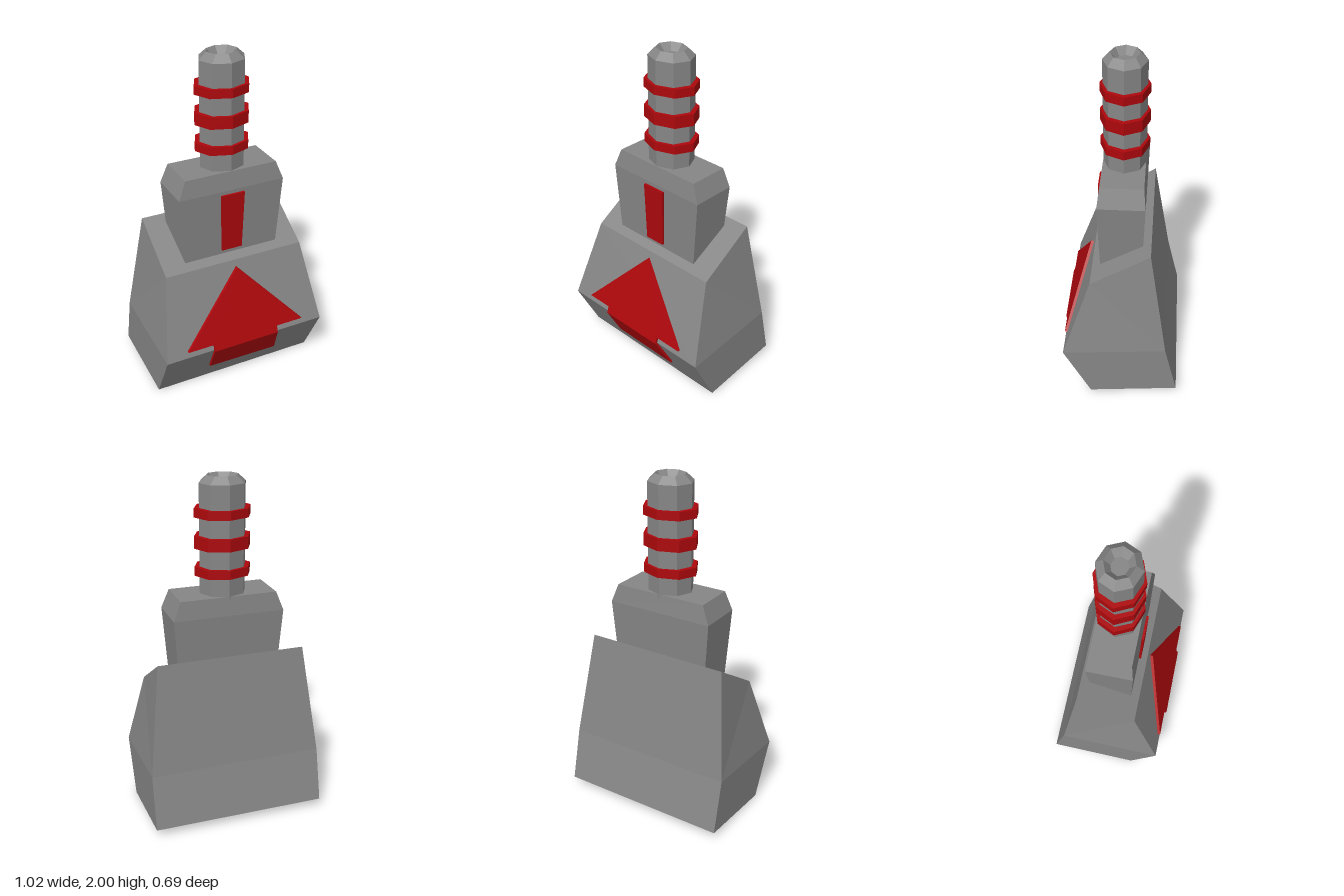
import * as THREE from 'three';

const grey = new THREE.MeshStandardMaterial({ color: 0x868686, flatShading: true });
const red = new THREE.MeshStandardMaterial({ color: 0xad080c, flatShading: true });

// Closed solid through rings of points, counter-clockwise seen from the last ring
function loft(rings) {
  const pos = [];
  const tri = (a, b, c) => pos.push(...a, ...b, ...c);
  const n = rings[0].length;
  for (let r = 0; r < rings.length - 1; r++) {
    const a = rings[r], b = rings[r + 1];
    for (let i = 0; i < n; i++) {
      const j = (i + 1) % n;
      tri(a[i], a[j], b[j]);
      tri(a[i], b[j], b[i]);
    }
  }
  const first = rings[0], last = rings[rings.length - 1];
  for (let i = 1; i < n - 1; i++) {
    tri(first[0], first[i + 1], first[i]);
    tri(last[0], last[i], last[i + 1]);
  }
  const g = new THREE.BufferGeometry();
  g.setAttribute('position', new THREE.Float32BufferAttribute(pos, 3));
  g.computeVertexNormals();
  return g;
}

// Thin plate from an outline in xy, laid on a surface whose z depends on y
function plate(outline, surfaceZ) {
  const shape = new THREE.Shape(outline.map(([x, y]) => new THREE.Vector2(x, y)));
  const g = new THREE.ExtrudeGeometry(shape, { depth: 0.024, bevelEnabled: false });
  const p = g.attributes.position;
  for (let i = 0; i < p.count; i++) p.setZ(i, p.getZ(i) - 0.01 + surfaceZ(p.getY(i)));
  g.computeVertexNormals();
  return g;
}

export function createModel() {
  const model = new THREE.Group();
  const add = (name, geometry, material, parent = model) => {
    const mesh = new THREE.Mesh(geometry, material);
    mesh.name = name;
    parent.add(mesh);
    return mesh;
  };

  // Wedge-shaped body: side profile [z, y] from the back fold, narrower at the top
  const profile = [[-0.272, 0.36], [-0.174, 1], [0.167, 0.788], [0.328, 0.31], [0.17, 0], [-0.344, 0.05]];
  const side = (s) => profile.map(([z, y]) => [s * (y > 0.5 ? 0.435 : 0.512), y, z]);
  add('body', loft([side(-1), side(1)]), grey);

  // Neck block: [y, half width, front z, back z]
  const levels = [[0.76, 0.29, 0.117, -0.118], [1.23, 0.325, 0.13, -0.137], [1.34, 0.282, 0.116, -0.126]];
  add('neckBlock', loft(levels.map(([y, w, f, b]) => [[w, y, f], [w, y, b], [-w, y, b], [-w, y, f]])), grey);

  // Octagonal post with a bevelled, hollowed tip
  const post = new THREE.Group();
  post.name = 'post';
  post.position.z = -0.008;
  model.add(post);
  const postProfile = [[0, 1.3], [0.135, 1.3], [0.135, 1.96], [0.09, 2], [0.052, 1.96], [0, 1.96]];
  const shaft = add('shaft', new THREE.LatheGeometry(postProfile.map(([r, y]) => new THREE.Vector2(r, y)), 8), grey, post);
  shaft.scale.z = 0.9;

  // Collars around the post: [bottom, top]
  for (const [a, b] of [[1.445, 1.495], [1.6, 1.67], [1.775, 1.825]]) {
    const collar = add('collar', new THREE.CylinderGeometry(0.165, 0.165, b - a, 8), red, post);
    collar.position.y = (a + b) / 2;
    collar.scale.z = 0.835;
  }

  // Tapered bar on the neck block
  add('bar', plate([[-0.064, 0.847], [0.062, 0.847], [0.072, 1.207], [-0.072, 1.207]],
    (y) => 0.119 + (y - 0.85) * 0.028), red);

  // Arrow folded over the front edge of the body
  const arrow = new THREE.Group();
  arrow.name = 'arrow';
  model.add(arrow);
  add('arrowHead', plate([[-0.215, 0.31], [0.205, 0.31], [0.205, 0.35], [0.378, 0.35], [0, 0.75],
    [-0.378, 0.35], [-0.215, 0.35]], (y) => 0.33 - (y - 0.31) / 3), red, arrow);
  add('arrowTail', plate([[-0.205, 0.13], [0.24, 0.12], [0.205, 0.31], [-0.215, 0.31]],
    (y) => 0.17 + y * 0.516), red, arrow);

  return model;
}
